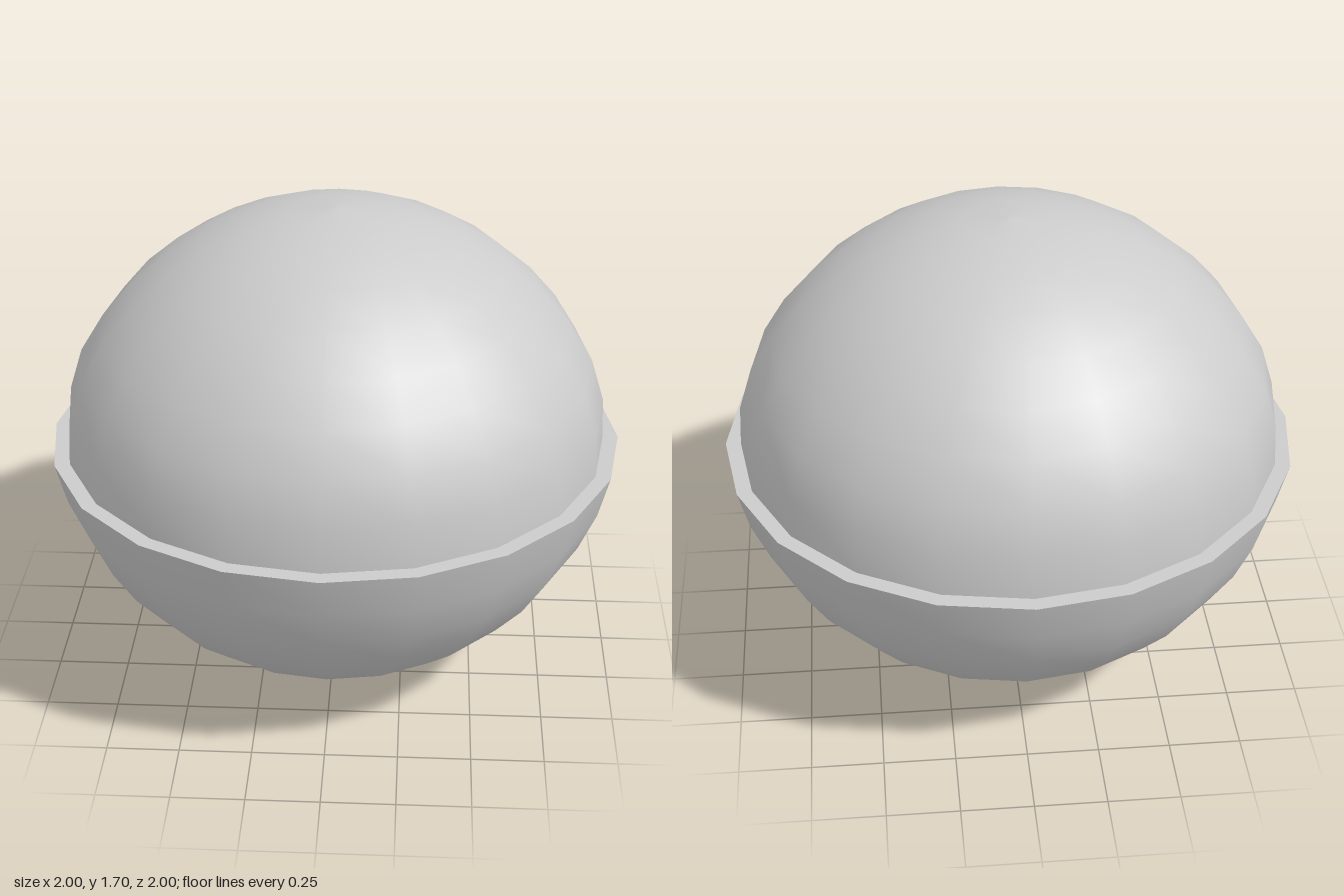
import * as THREE from 'three';

const SIDES = 20;
const STEP = Math.PI / 20;
const RIM_Y = 0.86;

// Points run from bottom to top (or outwards below, inwards above) so faces look outwards
function lathe(name, points) {
  const geometry = new THREE.LatheGeometry(points.map(([r, y]) => new THREE.Vector2(r, y)), SIDES);
  const mesh = new THREE.Mesh(geometry, new THREE.MeshStandardMaterial({ color: 0xcccccc }));
  mesh.name = name;
  return mesh;
}

export function createModel() {
  const group = new THREE.Group();
  group.name = 'globe';

  // Shallow cone under the foot
  group.add(lathe('footBottom', [[0, 0], [0.313, 0.03]]));

  // Spherical bowl that runs smoothly into the short foot wall
  const bowl = [[0.313, 0.03]];
  for (let i = 2; i <= 8; i++) {
    bowl.push([1.0125 * Math.sin(i * STEP), 1.023 - 1.0125 * Math.cos(i * STEP)]);
  }
  bowl.push([1, RIM_Y]);
  group.add(lathe('bowl', bowl));

  // Flat rim between bowl and dome
  group.add(lathe('rim', [[1, RIM_Y], [0.947, RIM_Y]]));

  // Dome, drawn in slightly where it meets the rim
  const dome = [[0.947, RIM_Y], [0.938, 1.008]];
  for (let i = 7; i >= 0; i--) {
    dome.push([Math.sin(i * STEP), 0.703 + Math.cos(i * STEP)]);
  }
  group.add(lathe('dome', dome));

  return group;
}
